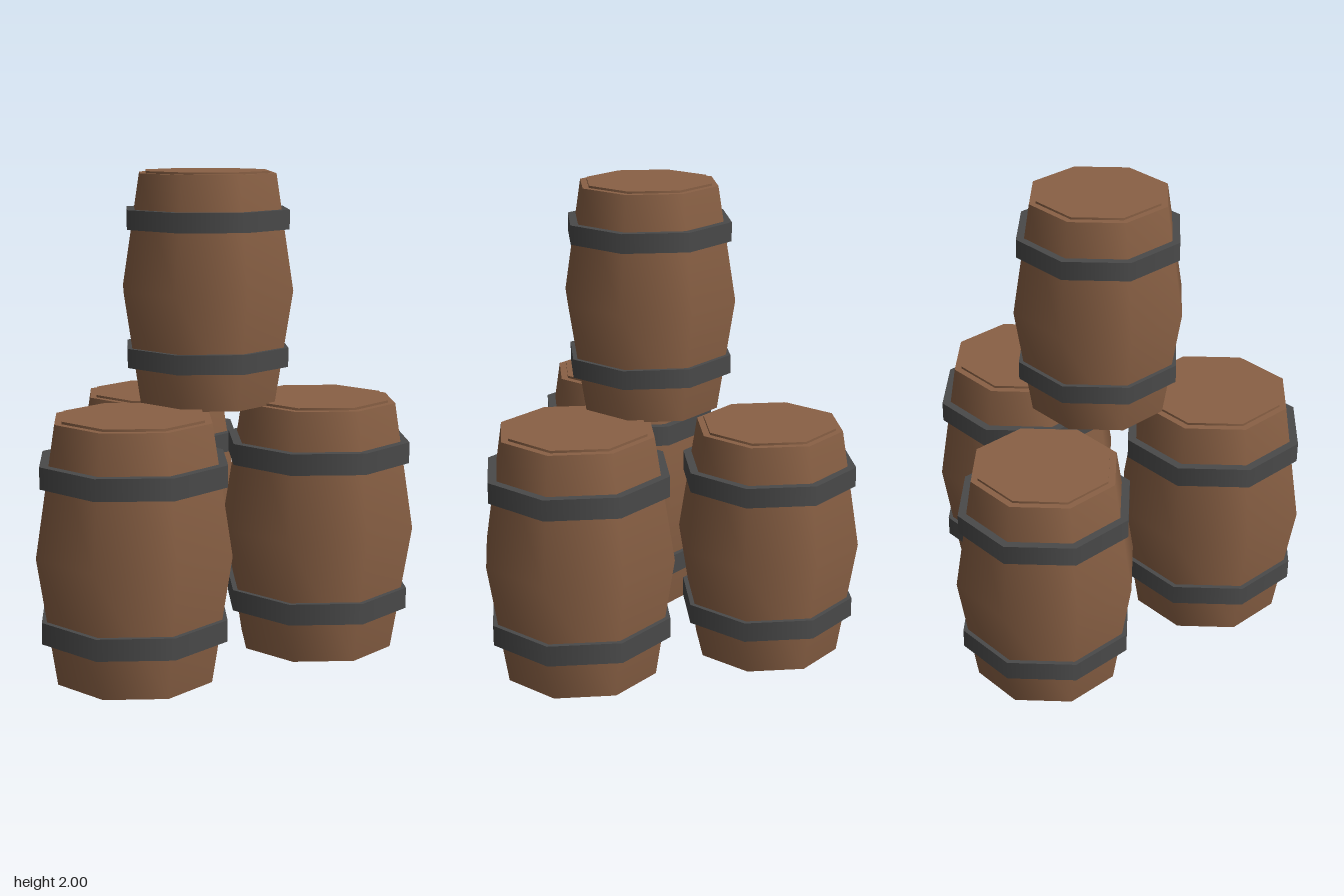
import * as THREE from 'three';

const SIDES = 8;
const HEIGHT = 1.05; // body height of a full-size barrel, without the lid

export function createModel() {
  const wood = new THREE.MeshStandardMaterial({ name: 'brownWood', color: 0x8a6145 });
  const iron = new THREE.MeshStandardMaterial({ name: 'darkIron', color: 0x4a4a4a });

  // Bulging staves: smooth-shaded, widest at mid height
  const profile = [[0.331, 0], [0.415, 0.525], [0.331, HEIGHT]];
  const staveGeo = new THREE.LatheGeometry(profile.map(([r, y]) => new THREE.Vector2(r, y)), SIDES);

  // Flat ends, turned so that their corners meet the staves
  const endGeo = new THREE.CircleGeometry(0.331, SIDES);
  const lidGeo = new THREE.CylinderGeometry(0.3, 0.3, 0.02, SIDES);
  const hoopGeo = new THREE.CylinderGeometry(0.395, 0.395, 0.088, SIDES);

  function makeBarrel(name, x, y, z, scale) {
    const barrel = new THREE.Group();
    barrel.name = name;
    const add = (part, geometry, material, height, tilt = 0) => {
      const mesh = new THREE.Mesh(geometry, material);
      mesh.name = part;
      mesh.position.y = height;
      mesh.rotation.x = tilt;
      barrel.add(mesh);
    };
    add('staves', staveGeo, wood, 0);
    add('bottomEnd', endGeo, wood, 0, Math.PI / 2);
    add('topRim', endGeo, wood, HEIGHT, -Math.PI / 2);
    add('lid', lidGeo, wood, HEIGHT);
    add('lowerHoop', hoopGeo, iron, 0.22);
    add('upperHoop', hoopGeo, iron, 0.845);
    barrel.position.set(x, y, z);
    barrel.scale.setScalar(scale);
    return barrel;
  }

  // Three barrels on the ground, one stacked on top
  const group = new THREE.Group();
  group.name = 'barrelStack';
  group.add(
    makeBarrel('rightBarrel', -0.437, 0, 0.368, 1),
    makeBarrel('leftBarrel', 0.437, 0, 0.297, 1),
    makeBarrel('backBarrel', 0, 0, -0.4, 0.95),
    makeBarrel('topBarrel', 0, 1.05, 0.125, 0.897),
  );
  return group;
}
